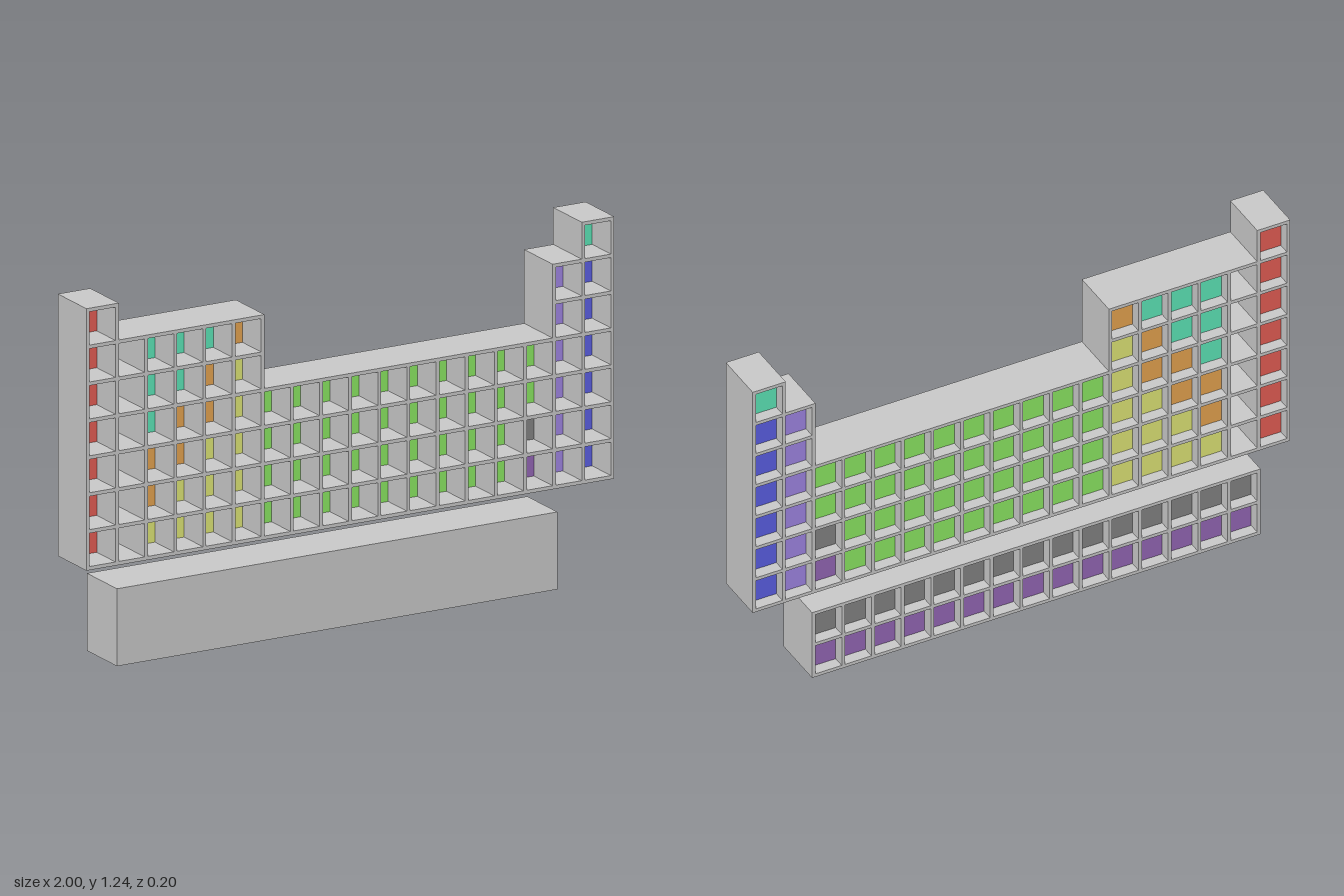
import * as THREE from 'three';

const WALL = 0.0124, PX = (2 - WALL) / 18, PY = 0.1268;
const BACK = -0.098, FRONT = 0.0885, BASE_Y = 0.343;
const PANEL_Z = -0.045, PANEL_T = 0.022;

const COLORS = {
  r: 0xe85f56, t: 0x5febbc, o: 0xe9a651, y: 0xe3ea78, g: 0x8eec64,
  k: 0x858585, p: 0x9768b9, v: 0xa288e8, b: 0x5d61e8,
};

// One string per column, listed bottom to top; '-' is an open cell
const TABLE = [
  'rrrrrrr', '------', 'yoottt', 'yyoott', 'yyyoot', 'yyyyyo',
  ...Array(9).fill('gggg'), 'pkgg', 'vvvvvv', 'bbbbbbt',
];
const LOWER = Array(15).fill('pk');

function rect(path, x, y, w, h) {
  path.moveTo(x, y);
  path.lineTo(x + w, y);
  path.lineTo(x + w, y + h);
  path.lineTo(x, y + h);
  path.closePath();
  return path;
}

// Stepped outline following the column heights, pierced by one hole per cell
function frameGeometry(columns) {
  const n = columns.length;
  const top = i => (i < 0 || i >= n ? 0 : columns[i].length * PY + WALL);
  const shape = new THREE.Shape();
  shape.moveTo(0, 0);
  for (let i = 0; i <= n; i++) {
    const a = top(i - 1), b = top(i);
    if (a === b) continue;
    // the taller neighbour keeps the whole shared wall
    const x = i * PX + (a > b ? WALL : 0);
    if (i > 0) shape.lineTo(x, a);
    shape.lineTo(x, b);
  }
  shape.closePath();
  columns.forEach((col, i) => {
    for (let j = 0; j < col.length; j++) {
      shape.holes.push(rect(new THREE.Path(), i * PX + WALL, j * PY + WALL, PX - WALL, PY - WALL));
    }
  });
  return new THREE.ExtrudeGeometry(shape, { depth: FRONT - BACK, bevelEnabled: false });
}

function cabinet(name, columns, x0, y0) {
  const group = new THREE.Group();
  group.name = name;
  const frame = new THREE.Mesh(
    frameGeometry(columns), new THREE.MeshStandardMaterial({ color: 0xcccccc }));
  frame.name = name + 'Frame';
  frame.position.z = BACK;
  group.add(frame);

  // Coloured panels recessed inside the cells
  const panelGeo = new THREE.BoxGeometry(PX - WALL, PY - WALL, PANEL_T);
  const materials = {};
  columns.forEach((col, i) => [...col].forEach((key, j) => {
    if (key === '-') return;
    materials[key] ??= new THREE.MeshStandardMaterial({ color: COLORS[key] });
    const panel = new THREE.Mesh(panelGeo, materials[key]);
    panel.name = 'cellPanel';
    panel.position.set(i * PX + (PX + WALL) / 2, j * PY + (PY + WALL) / 2, PANEL_Z);
    group.add(panel);
  }));
  group.position.set(x0, y0, 0);
  return group;
}

export function createModel() {
  const model = new THREE.Group();
  model.name = 'elementTableShelf';
  model.add(cabinet('upperCabinet', TABLE, -1, BASE_Y));

  const lower = cabinet('lowerCabinet', LOWER, -1 + PX, 0);
  // Closed plate on the front of the lower cabinet
  const w = 15 * PX + WALL, h = 2 * PY + WALL, t = 0.0095;
  const plate = new THREE.Mesh(
    new THREE.BoxGeometry(w, h, t), new THREE.MeshStandardMaterial({ color: 0xcccccc }));
  plate.name = 'frontPlate';
  plate.position.set(w / 2, h / 2, FRONT + t / 2);
  lower.add(plate);
  model.add(lower);
  return model;
}
